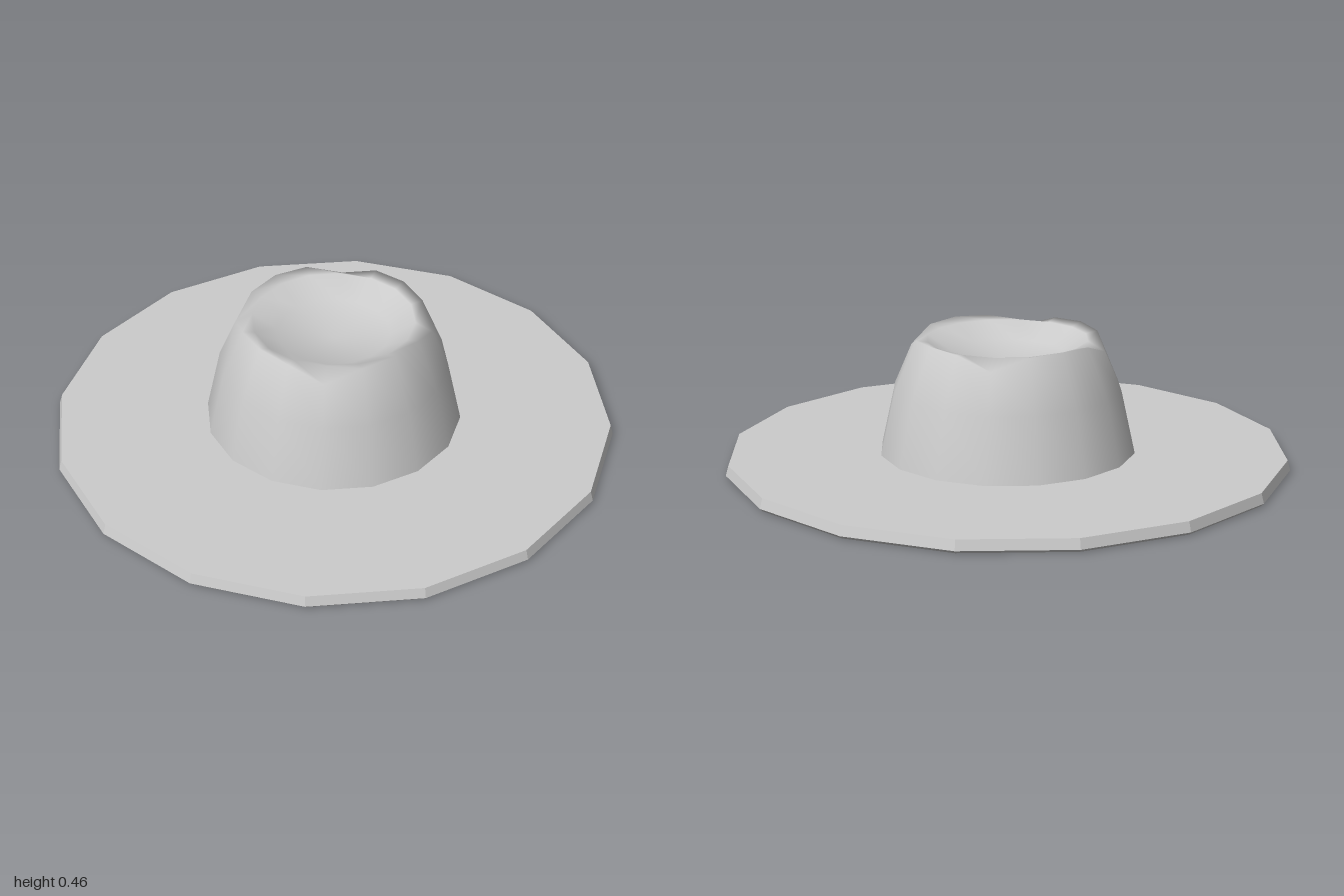
import * as THREE from 'three';
import { mergeVertices } from 'three/addons/utils/BufferGeometryUtils.js';

const SIDES = 16;
const lathe = (pts) =>
  new THREE.LatheGeometry(pts.map(([r, y]) => new THREE.Vector2(r, y)), SIDES);

// Flat faceted ring with a slightly tapered edge and a hole under the crown
function createBrim() {
  const geometry = lathe([
    [0.99, 0], [1, 0.01], [0.99, 0.045], [0.455, 0.045], [0.47, 0], [0.99, 0],
  ]);
  const brim = new THREE.Mesh(geometry, new THREE.MeshStandardMaterial({
    color: 0xcccccc, flatShading: true,
  }));
  brim.name = 'brim';
  return brim;
}

// Smooth open shell with a dished top, its rim dipping at the four diagonals
function createCrown() {
  const rimRadius = 0.325, rimHeight = 0.46;
  let geometry = lathe([
    [0.455, 0.045], [0.405, 0.27], [rimRadius, rimHeight],
    [0.285, 0.445], [0.2, 0.39], [0, 0.36],
  ]);
  const p = geometry.attributes.position;
  for (let i = 0; i < p.count; i++) {
    const x = p.getX(i), z = p.getZ(i), r = Math.hypot(x, z);
    if (Math.abs(r - rimRadius) > 0.005) continue;
    const dip = Math.pow(Math.sin(2 * Math.atan2(z, x)), 6);
    const s = 1 + 0.06 * dip;
    p.setXYZ(i, x * s, rimHeight - 0.05 * dip, z * s);
  }
  // Weld the seam so the shading runs smoothly all round
  geometry.deleteAttribute('uv');
  geometry.deleteAttribute('normal');
  geometry = mergeVertices(geometry);
  geometry.computeVertexNormals();
  const crown = new THREE.Mesh(geometry, new THREE.MeshStandardMaterial({
    color: 0xcccccc, side: THREE.DoubleSide,
  }));
  crown.name = 'crown';
  return crown;
}

export function createModel() {
  const hat = new THREE.Group();
  hat.name = 'hat';
  hat.add(createBrim(), createCrown());
  return hat;
}
